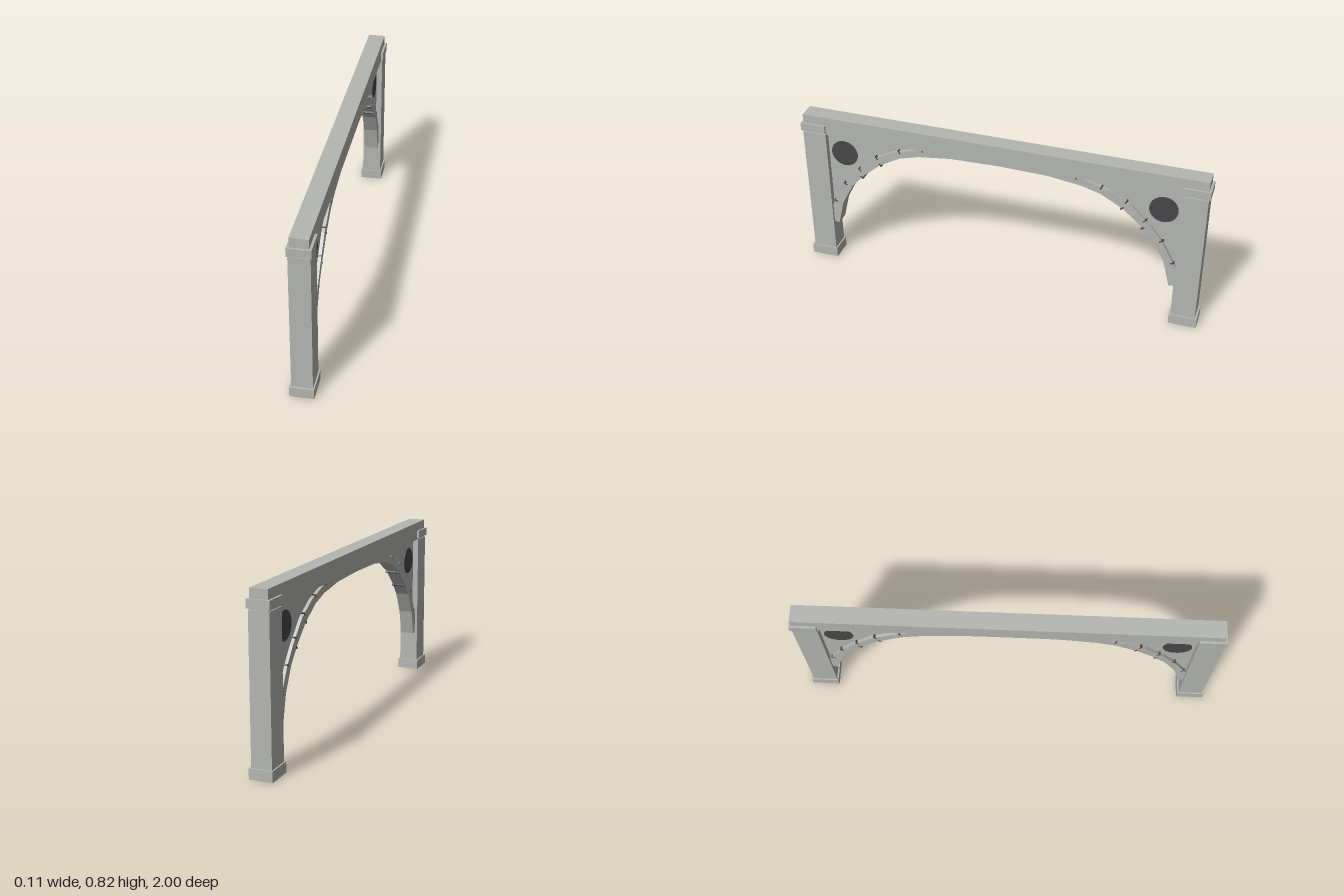
import * as THREE from 'three';

export function createModel() {
  const model = new THREE.Group();
  model.name = 'archedBridgeFrame';
  const stone = new THREE.MeshStandardMaterial({ color: 0xb4b6b2 });
  stone.name = 'light grey stone';
  const dark = new THREE.MeshStandardMaterial({ color: 0x48484a });
  dark.name = 'dark grey';

  function add(name, geometry, material) {
    const mesh = new THREE.Mesh(geometry, material);
    mesh.name = name;
    model.add(mesh);
    return mesh;
  }
  // box given by its half width in x and its y and z ranges
  function box(name, halfX, y0, y1, z0, z1) {
    add(name, new THREE.BoxGeometry(halfX * 2, y1 - y0, z1 - z0), stone)
      .position.set(0, (y0 + y1) / 2, (z0 + z1) / 2);
  }
  // plate in the z-y plane, centred on x = 0
  function plate(name, points, halfX) {
    const shape = new THREE.Shape(points.map(([z, y]) => new THREE.Vector2(z, y)));
    const geometry = new THREE.ExtrudeGeometry(shape, { depth: halfX * 2, bevelEnabled: false });
    geometry.translate(0, 0, -halfX).rotateY(-Math.PI / 2);
    add(name, geometry, stone);
  }
  // mirror a half curve that ends at z = 0
  const mirrored = (half) => [...half, ...half.slice(0, -1).reverse().map(([z, y]) => [-z, y])];

  // arch curves, from the foot to the crown
  const inner = mirrored([[0.847, 0.206], [0.815, 0.335], [0.757, 0.445], [0.688, 0.522],
    [0.602, 0.596], [0.495, 0.656], [0.4, 0.683], [0.238, 0.704], [0, 0.71]]);
  const outer = mirrored([[0.9, 0.218], [0.875, 0.308], [0.8, 0.447], [0.741, 0.522],
    [0.64, 0.624], [0.533, 0.683], [0.383, 0.727], [0.238, 0.75], [0, 0.757]]);

  // top beam
  box('topBeam', 0.042, 0.725, 0.818, -0.987, 0.987);

  // arch ring and the thinner wall above it
  plate('archRing', [...inner, ...outer.slice().reverse()], 0.035);
  plate('spandrelWall', [...outer.slice(1, -1), [-0.9, 0.308], [-0.9, 0.77], [0.9, 0.77], [0.9, 0.308]], 0.02);

  // joint marks: z, y and tilt of the arch at that point
  const joints = [[0.853, 0.338], [0.794, 0.452], [0.71, 0.55], [0.617, 0.635], [0.497, 0.69], [0.38, 0.722]];
  const undersideJoints = [[0.702, 0.507], [0.6, 0.598]];

  for (const side of [1, -1]) {
    const end = side > 0 ? 'front' : 'back';
    const range = (a, b) => (side > 0 ? [a, b] : [-b, -a]);
    box(end + 'Post', 0.048, 0, 0.725, ...range(0.872, 0.99));
    box(end + 'Base', 0.055, 0, 0.05, ...range(0.865, 1));
    box(end + 'Capital', 0.053, 0.733, 0.773, ...range(0.872, 0.998));

    // dark round panel in the wall
    const disc = new THREE.CylinderGeometry(0.068, 0.068, 0.044, 32).rotateZ(Math.PI / 2);
    add(end + 'RoundPanel', disc, dark).position.set(0, 0.622, 0.79 * side);

    for (const [z, y] of [...joints, ...undersideJoints]) {
      const mark = add(end + 'ArchJoint', new THREE.BoxGeometry(0.072, 0.006, 0.02), dark);
      mark.position.set(0, y, z * side);
      mark.rotation.x = -side * Math.atan2(y - 0.1, z * 0.75);
    }
  }
  return model;
}
